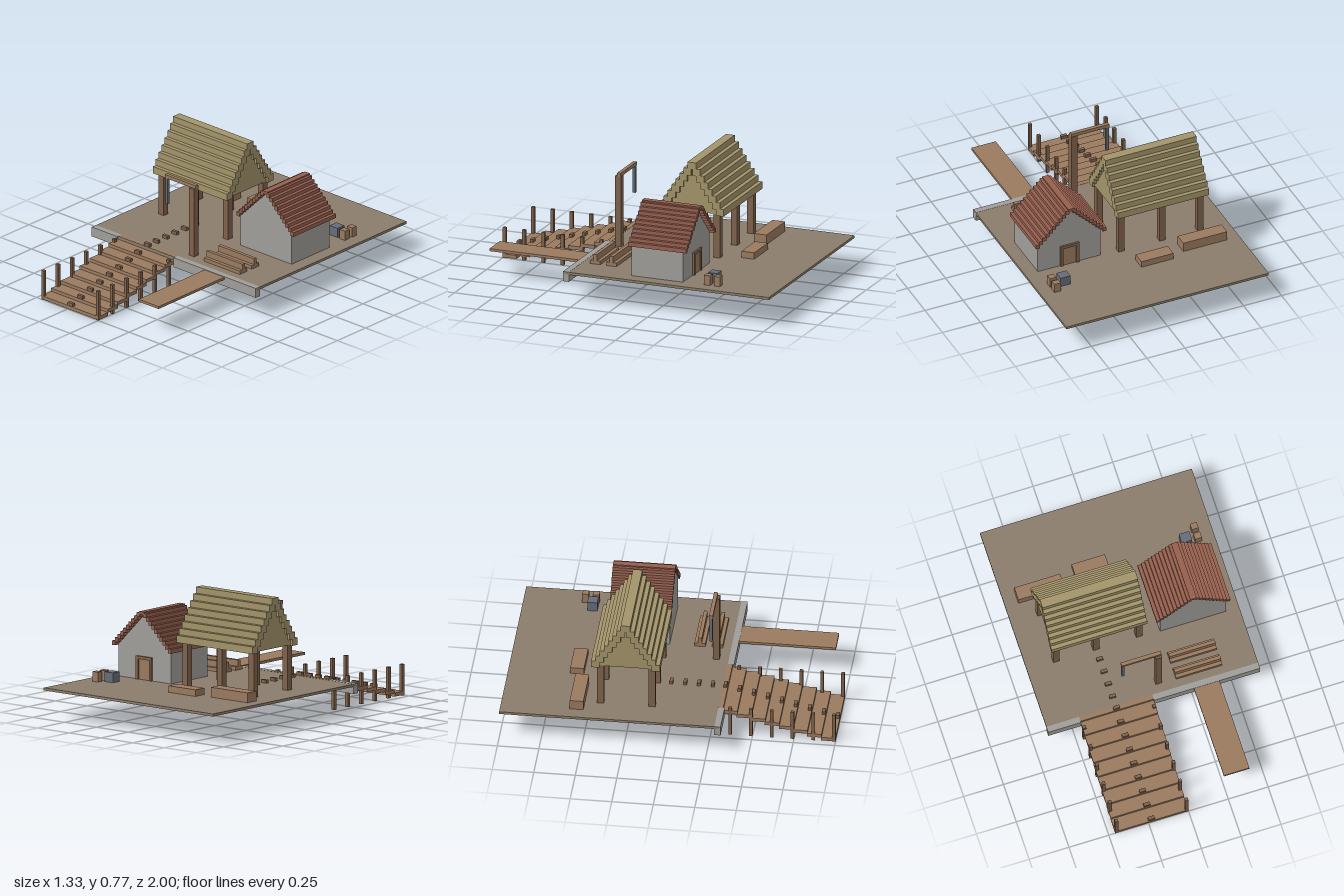
import * as THREE from 'three';

const mat = (color) => new THREE.MeshStandardMaterial({ color, flatShading: true });

export function createModel() {
  const model = new THREE.Group();
  const wood = mat(0x9a7a60), darkWood = mat(0x7f634c), ground = mat(0x8a7d6b);
  const stone = mat(0xa09e99), thatch = mat(0xa3946a), tile = mat(0x96604f), slate = mat(0x666c78);

  const add = (name, geometry, material) => {
    const mesh = new THREE.Mesh(geometry, material);
    mesh.name = name;
    model.add(mesh);
    return mesh;
  };
  // Box given by its two extreme corners
  const box = (name, material, x0, x1, y0, y1, z0, z1) => {
    const mesh = add(name, new THREE.BoxGeometry(x1 - x0, y1 - y0, z1 - z0), material);
    mesh.position.set((x0 + x1) / 2, (y0 + y1) / 2, (z0 + z1) / 2);
    return mesh;
  };
  // Flat outline pulled along z
  const extrude = (name, material, points, depth) => add(name, new THREE.ExtrudeGeometry(
    new THREE.Shape(points.map(([x, y]) => new THREE.Vector2(x, y))),
    { depth, bevelEnabled: false }), material);

  const floor = 0.19;

  // Ground slab with a stone edge either side of the stairs
  box('groundSlab', ground, -0.665, 0.665, 0.174, floor, -1, 0.325);
  box('stoneEdgeRight', stone, -0.665, -0.46, 0.13, floor + 0.001, 0.295, 0.333);
  box('stoneEdgeLeft', stone, 0, 0.665, 0.13, floor + 0.001, 0.295, 0.333);

  // Stairs with small centre blocks
  for (let i = 0; i < 9; i++) {
    const top = 0.025 + i * 0.0208, front = 1 - i * 0.0845;
    const back = i === 8 ? 0.295 : front - 0.088;
    box('stairTread', wood, -0.46, 0, top - 0.022, top, back, front);
    box('stairBlock', darkWood, -0.25, -0.21, top, top + 0.02, front - 0.023, front - 0.003);
  }
  for (let i = 0; i < 4; i++) {
    const z = -0.015 + i * 0.083;
    box('pathBlock', darkWood, -0.25, -0.21, floor, floor + 0.02, z - 0.01, z + 0.01);
  }
  for (let i = 0; i < 6; i++) {
    const z = 0.99 - i * 0.125;
    for (const x of [-0.45, -0.01])
      box('stairPost', darkWood, x - 0.01, x + 0.01, 0, floor, z - 0.01, z + 0.01);
  }

  // Gangplank
  box('gangplank', wood, 0.25, 0.41, 0.172, 0.188, 0.32, 0.915);

  // Stepped benches
  for (const z of [0.107, 0.212]) {
    box('benchBase', wood, 0.165, 0.455, floor, 0.212, z - 0.033, z + 0.033);
    box('benchRidge', wood, 0.165, 0.455, 0.212, 0.25, z - 0.011, z + 0.011);
  }

  // Single post with an arm and a hanging bar
  box('hoistPost', darkWood, 0.04, 0.08, 0.174, 0.63, 0.2, 0.24);
  box('hoistArm', wood, -0.17, 0.08, 0.628, 0.65, 0.203, 0.226);
  box('hangingBar', slate, -0.168, -0.15, 0.46, 0.63, 0.205, 0.223);

  // Open pavilion: posts, gable filling and stepped thatch
  for (const x of [-0.48, -0.23, 0.04])
    for (const z of [-0.1, -0.41])
      box('pavilionPost', darkWood, x - 0.02, x + 0.02, 0.174, 0.5, z - 0.02, z + 0.02);
  const ridgeZ = -0.257;
  const gable = extrude('pavilionGable', thatch, [[-0.175, 0.465], [0.175, 0.465], [0, 0.755]], 0.57);
  gable.rotation.y = Math.PI / 2;
  gable.position.set(-0.505, 0, ridgeZ);
  const rows = 8;
  for (let i = 0; i < rows; i++) {
    const outer = 0.207 - i * 0.0255, y = 0.46 + i * 0.0385;
    const inner = Math.max(0, outer - 0.05);
    for (const s of [-1, 1]) {
      const a = ridgeZ + s * inner, b = ridgeZ + s * outer;
      box('thatchRow', thatch, -0.52, 0.08, y, y + 0.0445, Math.min(a, b), Math.max(a, b));
    }
  }

  // Hut: gable end walls, side walls and back door
  const cx = 0.375, half = 0.207;
  const endWall = [[cx - half, 0.172], [cx + half, 0.172], [cx + half, 0.385], [cx, 0.59], [cx - half, 0.385]];
  for (const z of [-0.095, -0.41])
    extrude('hutEndWall', stone, endWall, 0.02).position.z = z;
  for (const s of [-1, 1]) {
    const x = cx + s * (half - 0.01);
    box('hutSideWall', stone, x - 0.01, x + 0.01, 0.172, 0.395, -0.395, -0.09);
  }
  box('door', wood, cx - 0.045, cx + 0.045, floor, 0.315, -0.414, -0.4);
  for (const s of [-1, 1])
    box('doorJamb', darkWood, cx + s * 0.052 - 0.009, cx + s * 0.052 + 0.009, floor, 0.33, -0.422, -0.4);
  box('doorLintel', darkWood, cx - 0.061, cx + 0.061, 0.314, 0.332, -0.422, -0.4);

  // Stepped tile roof
  for (let i = 0; i < 10; i++) {
    const y = 0.38 + i * 0.0215;
    for (const s of [-1, 1]) {
      const x = cx + s * (0.219 - i * 0.0215);
      box('tileRow', tile, x - 0.012, x + 0.012, y, y + 0.026, -0.44, -0.065);
    }
  }
  box('ridgeTile', tile, cx - 0.02, cx + 0.02, 0.59, 0.608, -0.44, -0.065);

  // Troughs and crates behind the buildings
  box('longTrough', wood, -0.583, -0.295, 0.174, 0.25, -0.585, -0.503);
  box('shortTrough', wood, -0.21, 0, 0.174, 0.23, -0.628, -0.545);
  box('slateCrate', slate, 0.457, 0.522, 0.174, 0.25, -0.607, -0.547);
  box('smallCrate', wood, 0.54, 0.582, 0.174, 0.25, -0.648, -0.61);
  box('smallCrate', wood, 0.54, 0.582, 0.174, 0.25, -0.585, -0.545);

  return model;
}
